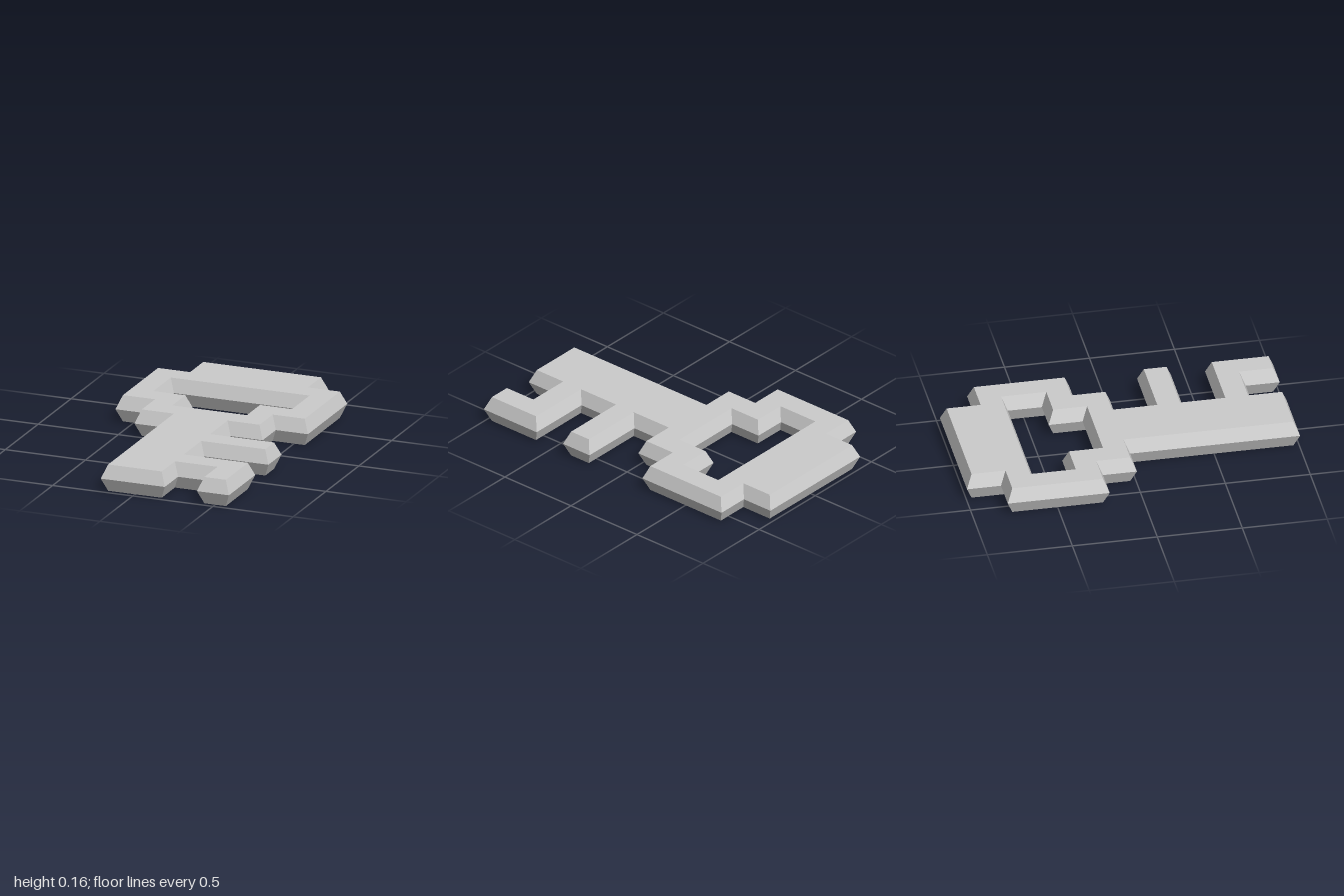
import * as THREE from 'three';

const HALF = 0.08;   // half of the thickness
const BEVEL = 0.033; // inset of the flat faces from the mid-height edge

// Outlines as [x, -z]; the outer runs counter-clockwise, the hole clockwise
const outer = [
  // shaft end and teeth
  [-0.2, -1], [0.2, -1], [0.2, -0.8], [0.4, -0.8], [0.4, -1], [0.6, -1],
  [0.6, -0.6], [0.2, -0.6], [0.2, -0.4], [0.6, -0.4], [0.6, -0.2], [0.2, -0.2],
  // stepped bow
  [0.2, 0], [0.4, 0], [0.4, 0.2], [0.6, 0.2], [0.6, 0.8], [0.4, 0.8], [0.4, 1],
  [-0.4, 1], [-0.4, 0.8], [-0.6, 0.8], [-0.6, 0.2], [-0.4, 0.2], [-0.4, 0], [-0.2, 0],
];
const hole = [
  [-0.4, 0.6], [0.4, 0.6], [0.4, 0.4], [0.2, 0.4],
  [0.2, 0.2], [-0.2, 0.2], [-0.2, 0.4], [-0.4, 0.4],
];

const toVectors = (points) => points.map(([x, y]) => new THREE.Vector2(x, y));

// Move each right-angled corner into the material, on the left of travel
function inset(loop, d) {
  const n = loop.length;
  return loop.map((p, i) => {
    const a = p.clone().sub(loop[(i + n - 1) % n]).normalize();
    const b = loop[(i + 1) % n].clone().sub(p).normalize();
    return new THREE.Vector2(p.x - d * (a.y + b.y), p.y + d * (a.x + b.x));
  });
}

function bevelledPlate(contour, holes) {
  const positions = [];
  const tri = (...corners) => corners.forEach(([p, y]) => positions.push(p.x, y, -p.y));

  // Sloping edge faces, above and below the mid-height ridge
  for (const mid of [contour, ...holes]) {
    const flat = inset(mid, BEVEL);
    for (let i = 0; i < mid.length; i++) {
      const j = (i + 1) % mid.length;
      for (const [lo, hi, y] of [[flat, mid, 0], [mid, flat, HALF]]) {
        tri([lo[i], y], [lo[j], y], [hi[j], y + HALF]);
        tri([lo[i], y], [hi[j], y + HALF], [hi[i], y + HALF]);
      }
    }
  }

  // Flat top and bottom
  const rim = inset(contour, BEVEL);
  const rimHoles = holes.map((h) => inset(h, BEVEL));
  const all = [rim, ...rimHoles].flat();
  for (const [a, b, c] of THREE.ShapeUtils.triangulateShape(rim, rimHoles)) {
    tri([all[a], 2 * HALF], [all[b], 2 * HALF], [all[c], 2 * HALF]);
    tri([all[a], 0], [all[c], 0], [all[b], 0]);
  }

  const geometry = new THREE.BufferGeometry();
  geometry.setAttribute('position', new THREE.Float32BufferAttribute(positions, 3));
  geometry.computeVertexNormals();
  return geometry;
}

export function createModel() {
  const group = new THREE.Group();
  group.name = 'key';
  const material = new THREE.MeshStandardMaterial({ color: 0xcccccc, flatShading: true });
  const body = new THREE.Mesh(bevelledPlate(toVectors(outer), [toVectors(hole)]), material);
  body.name = 'keyBody';
  group.add(body);
  return group;
}
